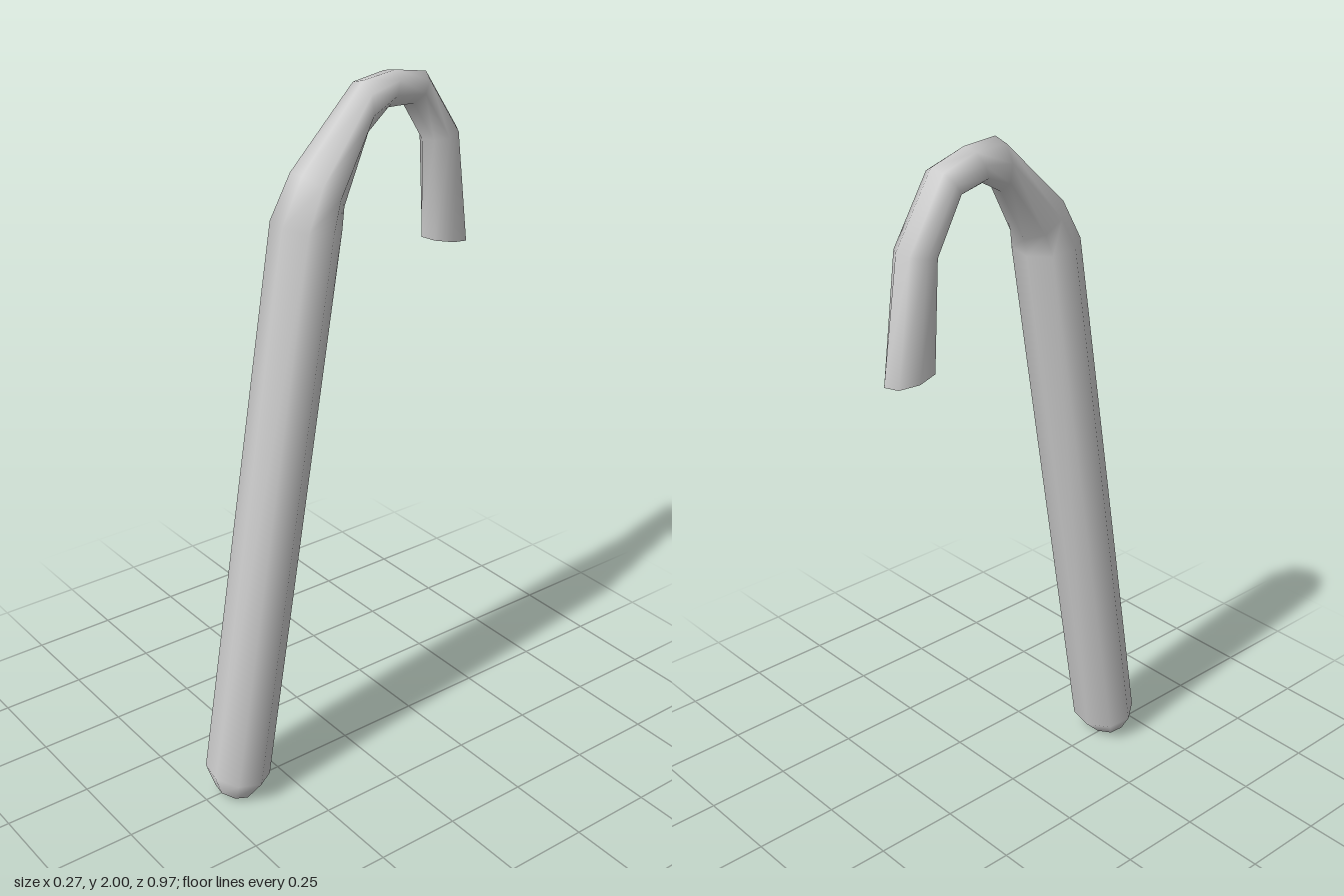
import * as THREE from 'three';

const SIDES = 8;
const PHASE = -Math.PI / 18;

// Cross-sections from the foot to the hook tip:
// [outer z, outer y, inner z, inner y, centre x, half width in x]
const SECTIONS = [
  [0.463, 0.02, 0.366, 0.0, 0.013, 0.06],
  [0.486, 0.085, 0.31, 0.055, 0.013, 0.099],
  [0.239, 1.68, 0.064, 1.652, 0.037, 0.099],
  [0.17, 1.8, 0.053, 1.7, 0.031, 0.087],
  [-0.053, 1.997, -0.053, 1.857, -0.004, 0.057],
  [-0.18, 2.0, -0.138, 1.903, -0.033, 0.053],
  [-0.302, 1.975, -0.239, 1.894, -0.055, 0.054],
  [-0.435, 1.8, -0.329, 1.777, -0.08, 0.056],
  [-0.487, 1.47, -0.338, 1.496, -0.083, 0.056],
];

// One ring of points around a cross-section
function ring([oz, oy, iz, iy, x, rx]) {
  const points = [];
  for (let j = 0; j < SIDES; j++) {
    const a = PHASE + (j / SIDES) * Math.PI * 2;
    const s = Math.sin(a) / 2;
    points.push(new THREE.Vector3(
      x + rx * Math.cos(a),
      (oy + iy) / 2 + s * (oy - iy),
      (oz + iz) / 2 + s * (oz - iz)
    ));
  }
  return points;
}

function makeMesh(name, points, index, material) {
  const geometry = new THREE.BufferGeometry().setFromPoints(points);
  geometry.setIndex(index);
  geometry.computeVertexNormals();
  const mesh = new THREE.Mesh(geometry, material);
  mesh.name = name;
  return mesh;
}

// Flat end with its own vertices, so its rim stays sharp
function makeCap(name, points, flip, material) {
  const index = [];
  for (let j = 1; j < SIDES - 1; j++) {
    index.push(0, flip ? j + 1 : j, flip ? j : j + 1);
  }
  return makeMesh(name, points, index, material);
}

export function createModel() {
  const group = new THREE.Group();
  group.name = 'cane';
  const material = new THREE.MeshStandardMaterial({ color: 0xcccccc });
  const rings = SECTIONS.map(ring);

  // Smooth skin joining neighbouring rings
  const index = [];
  for (let i = 0; i < rings.length - 1; i++) {
    for (let j = 0; j < SIDES; j++) {
      const k = (j + 1) % SIDES;
      const a = i * SIDES + j, b = i * SIDES + k;
      const c = a + SIDES, d = b + SIDES;
      index.push(a, c, b, b, c, d);
    }
  }
  group.add(makeMesh('shaftAndHook', rings.flat(), index, material));

  // End faces
  group.add(makeCap('footCap', rings[0], false, material));
  group.add(makeCap('hookTipCap', rings[rings.length - 1], true, material));
  return group;
}
